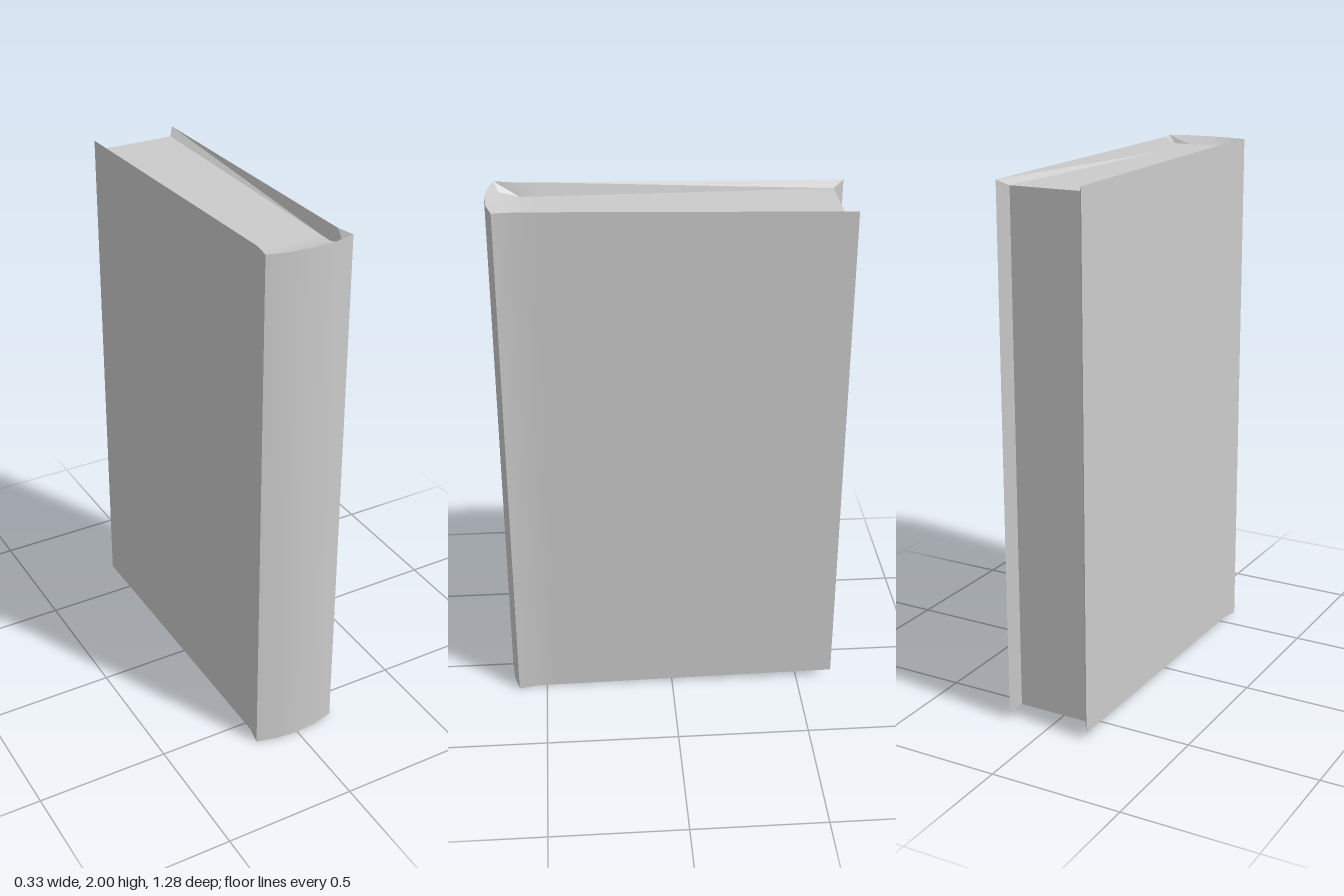
import * as THREE from 'three';
import { toCreasedNormals } from 'three/addons/utils/BufferGeometryUtils.js';

// Skin a list of equal-length rows of [x, y, z] points with quads
function skin(name, rows, material) {
  const n = rows[0].length;
  const index = [];
  for (let k = 0; k < rows.length - 1; k++) {
    for (let i = 0; i < n - 1; i++) {
      const a = k * n + i, b = a + n;
      index.push(a, b, b + 1, a, b + 1, a + 1);
    }
  }
  const geometry = new THREE.BufferGeometry();
  geometry.setAttribute('position', new THREE.Float32BufferAttribute(rows.flat(2), 3));
  geometry.setIndex(index);
  const mesh = new THREE.Mesh(toCreasedNormals(geometry, Math.PI / 9), material);
  mesh.name = name;
  return mesh;
}

export function createModel() {
  const book = new THREE.Group();
  book.name = 'book';
  const material = new THREE.MeshStandardMaterial({ color: 0xcccccc });

  // Half outline seen from above: cover x, cover z, page x, page z, page top y
  const half = [
    [0.163, -0.64, 0.135, -0.6, 1.953],
    [0.1505, 0.46, 0.135, 0.46, 1.95],
    [0.15, 0.54, 0.135, 0.52, 1.95],
    [0.163, 0.61, 0.135, 0.595, 1.97],
    [0.085, 0.63, 0.07, 0.595, 1.97],
    [0, 0.638, 0, 0.595, 1.97],
  ];
  const mirrored = half.slice(0, -1).reverse().map(([x, z, px, pz, y]) => [-x, z, -px, pz, y]);
  const outline = [...half, ...mirrored];

  // The cover is tallest at the spine and tapers towards the fore edge
  const coverTop = (z) => 2 - 0.025 * Math.min(1, Math.max(0, (0.61 - z) / 1.25));
  const flip = (row) => row.map(([x, y, z]) => [x, 2 - y, z]);
  const outerTop = outline.map(([x, z]) => [x, coverTop(z), z]);
  const innerTop = outline.map(([, , px, pz, y]) => [px, y, pz]);
  const outerBottom = flip(outerTop);
  const innerBottom = flip(innerTop);

  // Boards and rounded spine, with rims sloping in to the pages
  book.add(skin('cover', [innerBottom, outerBottom, outerTop, innerTop], material));

  // Bevelled fore edges of the two boards
  const last = outline.length - 1;
  const edge = (bottom, top, i) => [bottom[i], top[i]];
  book.add(skin('leftForeEdge',
    [edge(outerBottom, outerTop, 0), edge(innerBottom, innerTop, 0)], material));
  book.add(skin('rightForeEdge',
    [edge(innerBottom, innerTop, last), edge(outerBottom, outerTop, last)], material));

  // Page block: top and bottom rise to meet the spine, back is flat
  const leftTop = innerTop.slice(0, 4);
  const rightTop = leftTop.map(([x, y, z]) => [-x, y, z]);
  book.add(skin('pagesTop', [leftTop, rightTop], material));
  book.add(skin('pagesBottom', [flip(rightTop), flip(leftTop)], material));
  book.add(skin('pagesForeEdge',
    [edge(innerBottom, innerTop, 0), edge(innerBottom, innerTop, last)], material));

  return book;
}
